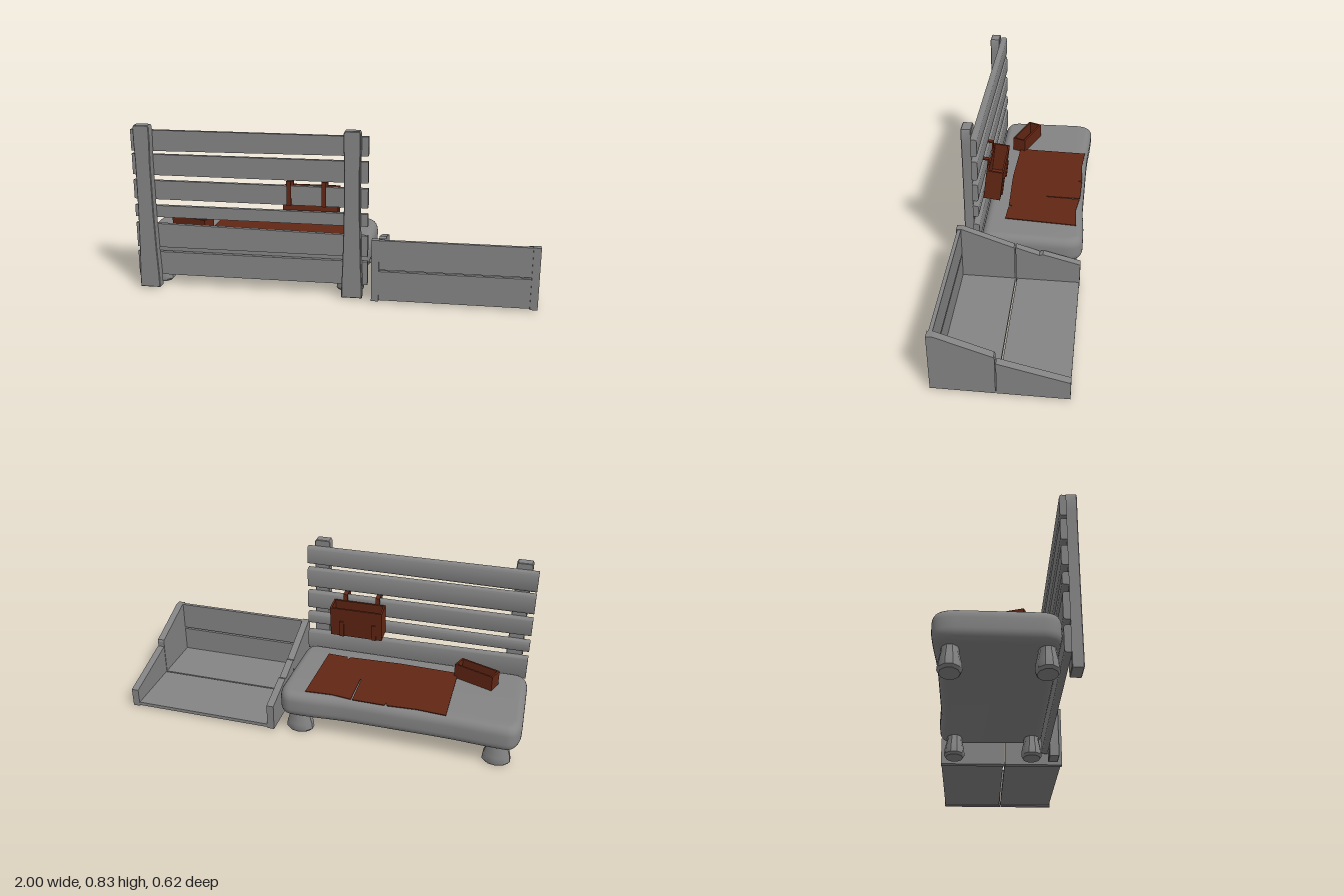
import * as THREE from 'three';
import { toCreasedNormals } from 'three/addons/utils/BufferGeometryUtils.js';

const grey = new THREE.MeshStandardMaterial({ color: 0x848484 });
const brown = new THREE.MeshStandardMaterial({ color: 0x622614 });

function add(parent, name, geometry, material = grey) {
  const mesh = new THREE.Mesh(geometry, material);
  mesh.name = name;
  parent.add(mesh);
  return mesh;
}

// Box given by its minimum and maximum on each axis
function block(x0, x1, y0, y1, z0, z1) {
  return new THREE.BoxGeometry(x1 - x0, y1 - y0, z1 - z0)
    .translate((x0 + x1) / 2, (y0 + y1) / 2, (z0 + z1) / 2);
}

const shapeOf = (pts) => new THREE.Shape(pts.map(([x, y]) => new THREE.Vector2(x, y)));

// Side profile of [z, y] points, extruded along x
function sidePanel(pts, x0, x1) {
  const shape = shapeOf(pts.map(([z, y]) => [-z, y]));
  return new THREE.ExtrudeGeometry(shape, { depth: x1 - x0, bevelEnabled: false })
    .rotateY(Math.PI / 2).translate(x0, 0, 0);
}

// Box without a lid, centred on its own origin
function openBox(name, w, h, d, t) {
  const box = new THREE.Group();
  box.name = name;
  const [x, y, z] = [w / 2, h / 2, d / 2];
  add(box, name + 'Floor', block(-x, x, -y, -y + t, -z, z), brown);
  for (const s of [-1, 1]) {
    add(box, name + 'LongWall', block(-x, x, -y + t, y, -t / 2, t / 2), brown).position.z = s * (z - t / 2);
    add(box, name + 'EndWall', block(-t / 2, t / 2, -y + t, y, -z + t, z - t), brown).position.x = s * (x - t / 2);
  }
  return box;
}

// Slat with rounded rear edges, whose heights change from one end to the other
function slatGeometry(lb, lt, rb, rt) {
  const [x0, x1, front, rear] = [-0.977, 0.187, 0.235, 0.205];
  const geo = sidePanel([
    [front, lb], [front, lt], [rear + 0.009, lt], [rear + 0.003, lt - 0.003], [rear, lt - 0.011],
    [rear, lb + 0.011], [rear + 0.003, lb + 0.003], [rear + 0.009, lb],
  ], x0, x1);
  const p = geo.attributes.position;
  for (let i = 0; i < p.count; i++) {
    const u = (p.getX(i) - x0) / (x1 - x0);
    const v = (p.getY(i) - lb) / (lt - lb);
    p.setY(i, THREE.MathUtils.lerp(THREE.MathUtils.lerp(lb, rb, u), THREE.MathUtils.lerp(lt, rt, u), v));
  }
  return toCreasedNormals(geo, 0.8);
}

function createBackrest() {
  const group = new THREE.Group();
  group.name = 'backrest';

  // Slats: left bottom, left top, right bottom, right top heights
  const slats = [
    [0.06, 0.18, 0.06, 0.18], [0.205, 0.33, 0.205, 0.312], [0.363, 0.422, 0.36, 0.422],
    [0.455, 0.55, 0.452, 0.548], [0.578, 0.682, 0.575, 0.68], [0.698, 0.802, 0.707, 0.8],
  ];
  for (const heights of slats) add(group, 'slat', slatGeometry(...heights));

  // Posts widen towards the foot and have a rounded top
  const profile = [[0.05, 0.008], [0.05, 0.06], [0.044, 0.2], [0.039, 0.4], [0.037, 0.65], [0.04, 0.75], [0.04, 0.822], [0.034, 0.833]];
  const outline = [...profile, ...profile.map(([x, y]) => [-x, y]).reverse()];
  for (const x of [-0.905, 0.115]) {
    const geo = new THREE.ExtrudeGeometry(shapeOf(outline), {
      depth: 0.044, bevelThickness: 0.003, bevelSize: 0.003, bevelOffset: -0.003, bevelSegments: 1,
    });
    add(group, 'post', toCreasedNormals(geo, 0.5)).position.set(x, 0, 0.238);
  }
  return group;
}

function createBench() {
  const group = new THREE.Group();
  group.name = 'bench';

  // Soft slab with a gently hollowed rear edge (shape y is -z)
  const s = new THREE.Shape();
  s.moveTo(-0.925, -0.205);
  s.lineTo(0.125, -0.205);
  s.quadraticCurveTo(0.18, -0.205, 0.185, -0.14);
  s.lineTo(0.193, 0.22);
  s.quadraticCurveTo(0.187, 0.309, 0.125, 0.312);
  s.bezierCurveTo(-0.05, 0.312, -0.05, 0.298, -0.2, 0.298);
  s.lineTo(-0.55, 0.298);
  s.bezierCurveTo(-0.75, 0.298, -0.75, 0.309, -0.935, 0.312);
  s.quadraticCurveTo(-0.992, 0.309, -1, 0.22);
  s.lineTo(-0.993, -0.13);
  s.quadraticCurveTo(-0.988, -0.2, -0.925, -0.205);
  const geo = new THREE.ExtrudeGeometry(s, {
    depth: 0.044, curveSegments: 8, bevelThickness: 0.046, bevelSize: 0.038, bevelOffset: -0.038, bevelSegments: 6,
  }).rotateX(-Math.PI / 2).translate(0, 0.15, 0);
  add(group, 'seat', toCreasedNormals(geo, 0.7));

  // Flared legs
  const legProfile = [[0, 0], [0.06, 0], [0.071, 0.012], [0.067, 0.045], [0.054, 0.085], [0.05, 0.12], [0, 0.12]]
    .map(([x, y]) => new THREE.Vector2(x, y));
  for (const x of [-0.895, 0.093]) for (const z of [-0.238, 0.147]) {
    const leg = toCreasedNormals(new THREE.LatheGeometry(legProfile, 10).scale(1, 1, 0.72), 0.7);
    add(group, 'leg', leg).position.set(x, 0, z);
  }

  // Thin cloth with a slit and small tears, lying slightly tilted (shape y is -z)
  const cloth = shapeOf([
    [-0.645, -0.09], [-0.35, -0.1], [-0.08, -0.09], [-0.07, -0.068], [-0.063, -0.09], [0.04, -0.095],
    [0.055, 0.272], [-0.08, 0.265], [-0.178, 0.278], [-0.18, 0.1], [-0.185, 0.1], [-0.186, 0.28],
    [-0.345, 0.283], [-0.352, 0.262], [-0.36, 0.283], [-0.5, 0.275], [-0.645, 0.285],
  ]);
  const clothGeo = new THREE.ExtrudeGeometry(cloth, { depth: 0.004, bevelEnabled: false })
    .rotateX(-Math.PI / 2 - 0.02);
  add(group, 'cloth', clothGeo, brown).position.y = 0.248;

  // Small open box resting on the seat
  const tray = openBox('smallBox', 0.21, 0.078, 0.075, 0.009);
  tray.position.set(-0.74, 0.282, 0.061);
  tray.rotation.y = -0.37;
  group.add(tray);
  return group;
}

function createHangingBasket() {
  const group = new THREE.Group();
  group.name = 'hangingBasket';
  const basket = openBox('basket', 0.272, 0.166, 0.085, 0.009);
  basket.position.set(-0.1, 0.447, 0.153);
  basket.rotation.x = -0.12;
  group.add(basket);

  for (const x of [-0.194, -0.024]) {
    // Strap folded over the slat
    const hook = [[0.188, 0.45], [0.179, 0.57], [0.255, 0.577], [0.255, 0.455],
      [0.248, 0.455], [0.248, 0.57], [0.187, 0.564], [0.195, 0.45]];
    add(group, 'hook', sidePanel(hook.reverse(), x - 0.011, x + 0.011), brown);
    // Short strap on the outer wall
    add(basket, 'strap', block(-0.011, 0.011, -0.083, 0.008, -0.049, -0.042), brown).position.x = x + 0.1;
  }
  return group;
}

function createPlanter() {
  const group = new THREE.Group();
  group.name = 'openBin';
  const [x0, x1, t] = [0.213, 1, 0.036];

  // Floor and front wall, two boards each, set slightly inside the side boards
  for (const [a, c] of [[-0.306, 0.01], [0.018, 0.306]]) {
    add(group, 'floorBoard', block(x0 + t, x1 - t, 0.014, 0.032, a, c));
  }
  for (const [a, c] of [[0.014, 0.161], [0.17, 0.317]]) {
    add(group, 'frontBoard', block(x0 + t, x1 - t, a, c, 0.288, 0.306));
  }

  // Stepped side boards, the inner side a little higher
  const tall = [[0.312, 0.01], [0.312, 0.319], [0.28, 0.319], [0.025, 0.227], [0.02, 0.215], [0.02, 0.01]];
  const low = [[0.016, 0.01], [0.016, 0.19], [-0.308, 0.107], [-0.308, 0.01]];
  const lowInner = [[0.016, 0.01], [0.016, 0.229], [-0.093, 0.193], [-0.102, 0.189], [-0.12, 0.196], [-0.308, 0.145], [-0.308, 0.01]];
  for (const [x, rear] of [[x0, lowInner], [x1 - t, low]]) {
    add(group, 'tallSideBoard', sidePanel(tall, x, x + t));
    add(group, 'lowSideBoard', sidePanel(rear, x, x + t));
  }
  return group;
}

export function createModel() {
  const model = new THREE.Group();
  model.name = 'benchWithBin';
  model.add(createBackrest(), createBench(), createHangingBasket(), createPlanter());
  return model;
}
